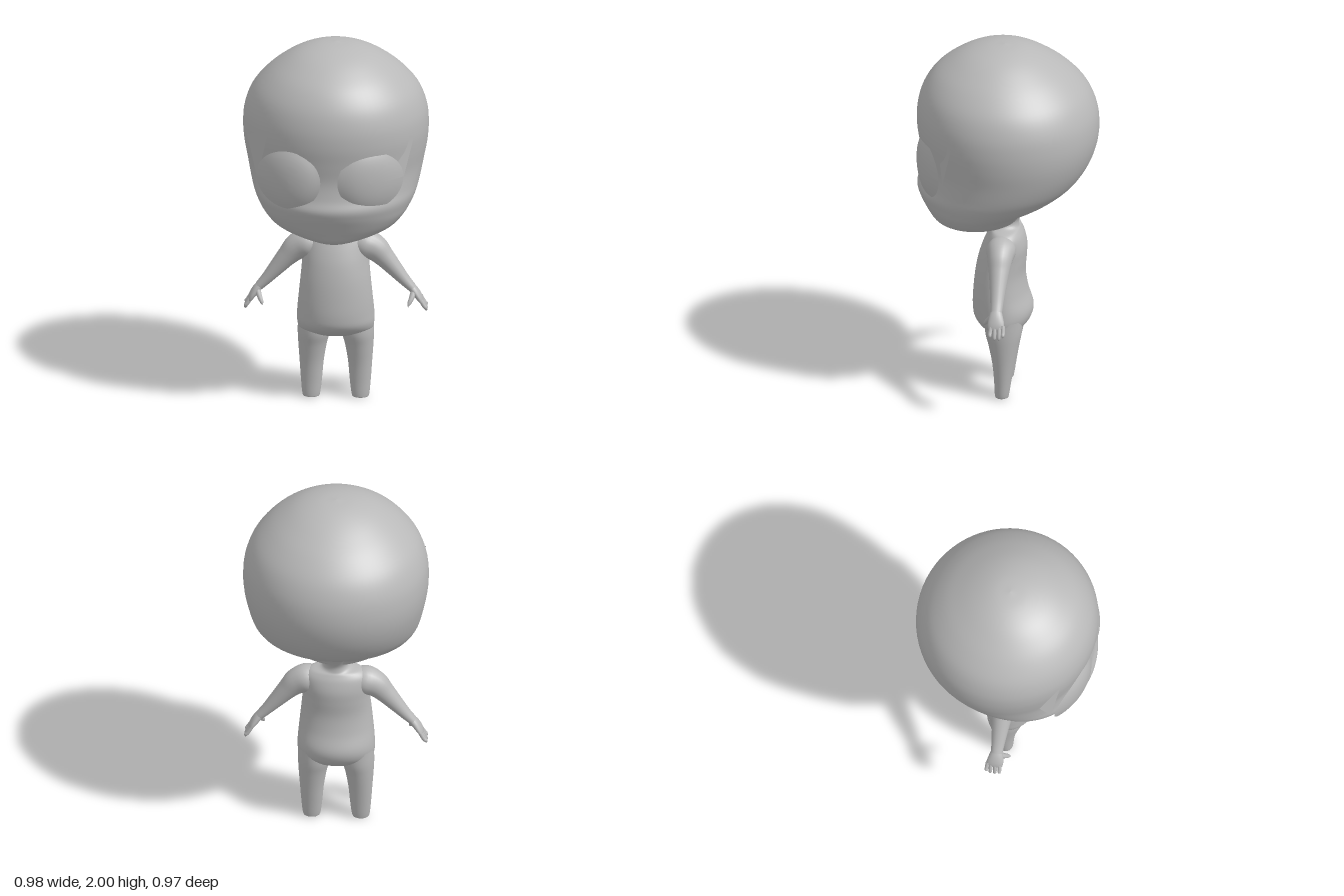
import * as THREE from 'three';

const clay = new THREE.MeshStandardMaterial({ color: 0xb9b9b9, side: THREE.DoubleSide });
clay.name = 'clay grey';

// Skin a closed grid of rings, ordered from bottom to top
function skin(rings) {
  const n = rings[0].length, index = [];
  for (let i = 0; i < rings.length - 1; i++) {
    for (let j = 0; j < n; j++) {
      const a = i * n + j, c = i * n + (j + 1) % n;
      index.push(a, a + n, c, c, a + n, c + n);
    }
  }
  const g = new THREE.BufferGeometry();
  g.setAttribute('position', new THREE.Float32BufferAttribute(rings.flat().flatMap(p => p.toArray()), 3));
  g.setIndex(index);
  g.computeVertexNormals();
  return g;
}

// Loft of level ovals: each section is [y, half width, front z, back z, centre x]
function loft(sections, n = 48, steps = 5) {
  const smooth = f => new THREE.CatmullRomCurve3(sections.map(f), false, 'catmullrom', 0.5);
  const size = smooth(s => new THREE.Vector3(s[0], s[1], s[4] || 0));
  const depth = smooth(s => new THREE.Vector3(s[2], s[3], 0));
  const rings = [], rows = (sections.length - 1) * steps;
  for (let i = 0; i <= rows; i++) {
    const { x: y, y: w, z: cx } = size.getPoint(i / rows);
    const { x: front, y: back } = depth.getPoint(i / rows);
    rings.push(Array.from({ length: n }, (_, j) => {
      const a = j / n * Math.PI * 2;
      return new THREE.Vector3(cx + w * Math.cos(a), y,
        (front + back) / 2 + (front - back) / 2 * Math.sin(a));
    }));
  }
  return skin(rings);
}

// Tapered limb along a path: each stop is [x, y, z, radius, z radius]
function limb(stops, n = 20, steps = 5) {
  const path = new THREE.CatmullRomCurve3(stops.map(s => new THREE.Vector3(s[0], s[1], s[2])), false, 'catmullrom', 0.5);
  const radii = new THREE.CatmullRomCurve3(stops.map(s => new THREE.Vector3(s[3], s[4] ?? s[3], 0)), false, 'catmullrom', 0.5);
  const rings = [], rows = (stops.length - 1) * steps;
  for (let i = 0; i <= rows; i++) {
    const p = path.getPoint(i / rows), r = radii.getPoint(i / rows), t = path.getTangent(i / rows);
    const side = new THREE.Vector3().crossVectors(t, new THREE.Vector3(0, 0, 1)).normalize();
    const fore = new THREE.Vector3().crossVectors(side, t);
    rings.push(Array.from({ length: n }, (_, j) => {
      const a = j / n * Math.PI * 2;
      return p.clone().addScaledVector(side, r.x * Math.cos(a)).addScaledVector(fore, r.y * Math.sin(a));
    }));
  }
  return skin(rings);
}

// Curved oval eye shell, following the face
function eyeShell(s) {
  const g = new THREE.RingGeometry(0.001, 1, 40, 8), p = g.attributes.position;
  for (let i = 0; i < p.count; i++) {
    const u = p.getX(i), v = p.getY(i), out = 0.217 + 0.172 * u, y = 1.36 + 0.163 * v;
    const z = 0.476 - 1.6 * Math.max(0, out - 0.1) ** 2 - 0.9 * (y - 1.38) ** 2 - 0.012 * (u * u + v * v) ** 2;
    p.setXYZ(i, -0.018 + s * out, y, z);
  }
  // keep the outside facing forward when mirrored
  if (s < 0) {
    const ix = g.index.array;
    for (let i = 0; i < ix.length; i += 3) [ix[i], ix[i + 1]] = [ix[i + 1], ix[i]];
  }
  g.computeVertexNormals();
  return g;
}

// Thin pointed flake at the outer corner of the eye
function lashFlake(s) {
  const x = o => -0.018 + s * o;
  const g = new THREE.BufferGeometry();
  g.setAttribute('position', new THREE.Float32BufferAttribute([
    x(0.442), 1.56, 0.26, x(0.385), 1.33, 0.31, x(0.325), 1.61, 0.35], 3));
  g.setIndex(s > 0 ? [0, 2, 1] : [0, 1, 2]);
  g.computeVertexNormals();
  return g;
}

export function createModel() {
  const model = new THREE.Group();
  model.name = 'bigHeadedFigure';
  const add = (name, geometry, parent = model) => {
    const m = new THREE.Mesh(geometry, clay);
    m.name = name;
    parent.add(m);
  };

  // Head, from the flat chin to the crown
  add('head', loft([
    [0.962, 0, 0.2, 0.2], [0.965, 0.09, 0.32, 0.03], [0.995, 0.21, 0.38, -0.05],
    [1.04, 0.31, 0.408, -0.08], [1.1, 0.37, 0.44, -0.15], [1.15, 0.404, 0.465, -0.25],
    [1.2, 0.428, 0.479, -0.325], [1.26, 0.446, 0.462, -0.385], [1.35, 0.465, 0.453, -0.44],
    [1.45, 0.484, 0.466, -0.474], [1.55, 0.491, 0.48, -0.484], [1.65, 0.48, 0.477, -0.47],
    [1.75, 0.44, 0.449, -0.425], [1.84, 0.365, 0.39, -0.345], [1.91, 0.28, 0.305, -0.25],
    [1.96, 0.195, 0.215, -0.16], [1.99, 0.1, 0.115, -0.075], [2, 0, 0.015, 0.015],
  ], 72));

  // Torso with belly, seat, shoulders and neck
  add('torso', loft([
    [0.345, 0, 0.01, 0.01], [0.355, 0.1, 0.07, -0.05], [0.385, 0.185, 0.13, -0.09],
    [0.43, 0.204, 0.174, -0.125], [0.49, 0.204, 0.185, -0.135], [0.58, 0.196, 0.182, -0.108],
    [0.68, 0.186, 0.172, -0.094], [0.77, 0.178, 0.155, -0.1], [0.84, 0.176, 0.133, -0.102],
    [0.9, 0.172, 0.108, -0.088], [0.935, 0.14, 0.092, -0.07], [0.952, 0.08, 0.086, -0.06],
    [0.985, 0.066, 0.088, -0.06], [1.03, 0.085, 0.11, -0.085], [1.08, 0.12, 0.14, -0.12],
  ]));

  for (const s of [1, -1]) {
    const side = s > 0 ? 'left' : 'right';
    add(side + 'Eye', eyeShell(s));
    add(side + 'Lash', lashFlake(s));

    // Leg tapering to a blunt foot
    add(side + 'Leg', loft([
      [0, 0, 0.02, 0.02, s * 0.13], [0.002, 0.036, 0.05, -0.012, s * 0.13],
      [0.018, 0.047, 0.056, -0.02, s * 0.13], [0.1, 0.056, 0.06, -0.033, s * 0.129],
      [0.2, 0.064, 0.07, -0.05, s * 0.128], [0.3, 0.076, 0.09, -0.07, s * 0.123],
      [0.37, 0.087, 0.108, -0.085, s * 0.115], [0.45, 0.088, 0.11, -0.09, s * 0.112],
    ], 32));

    // Arm from shoulder to wrist
    const arm = new THREE.Group();
    arm.name = side + 'Arm';
    model.add(arm);
    add(side + 'Sleeve', limb([
      [s * 0.07, 0.87, 0.02, 0.04, 0.05], [s * 0.145, 0.865, 0.02, 0.076, 0.078],
      [s * 0.205, 0.84, 0.02, 0.072, 0.068], [s * 0.255, 0.79, 0.02, 0.056, 0.056],
      [s * 0.31, 0.725, 0.02, 0.043, 0.045], [s * 0.365, 0.66, 0.02, 0.031, 0.036],
      [s * 0.405, 0.617, 0.02, 0.024, 0.031],
    ]), arm);

    // Hand: flat palm, four fingers and a thumb
    add(side + 'Palm', limb([
      [s * 0.395, 0.628, 0.02, 0.022, 0.028], [s * 0.42, 0.598, 0.02, 0.022, 0.038],
      [s * 0.442, 0.565, 0.018, 0.018, 0.044], [s * 0.455, 0.54, 0.015, 0.011, 0.038],
      [s * 0.458, 0.534, 0.015, 0.001, 0.003],
    ]), arm);
    [[0.047, 0.505], [0.023, 0.492], [-0.001, 0.492], [-0.022, 0.508]].forEach(([z, tip], i) =>
      add(side + 'Finger' + (i + 1), limb([
        [s * 0.447, 0.56, z * 0.9, 0.011], [s * 0.466, 0.527, z, 0.0105],
        [s * 0.477, tip + 0.008, z, 0.009], [s * 0.48, tip - 0.002, z, 0.001],
      ], 10, 4), arm));
    add(side + 'Thumb', limb([
      [s * 0.413, 0.605, 0.035, 0.016], [s * 0.403, 0.575, 0.06, 0.014],
      [s * 0.39, 0.548, 0.08, 0.01], [s * 0.385, 0.532, 0.09, 0.001],
    ], 10, 4), arm);
  }
  return model;
}
